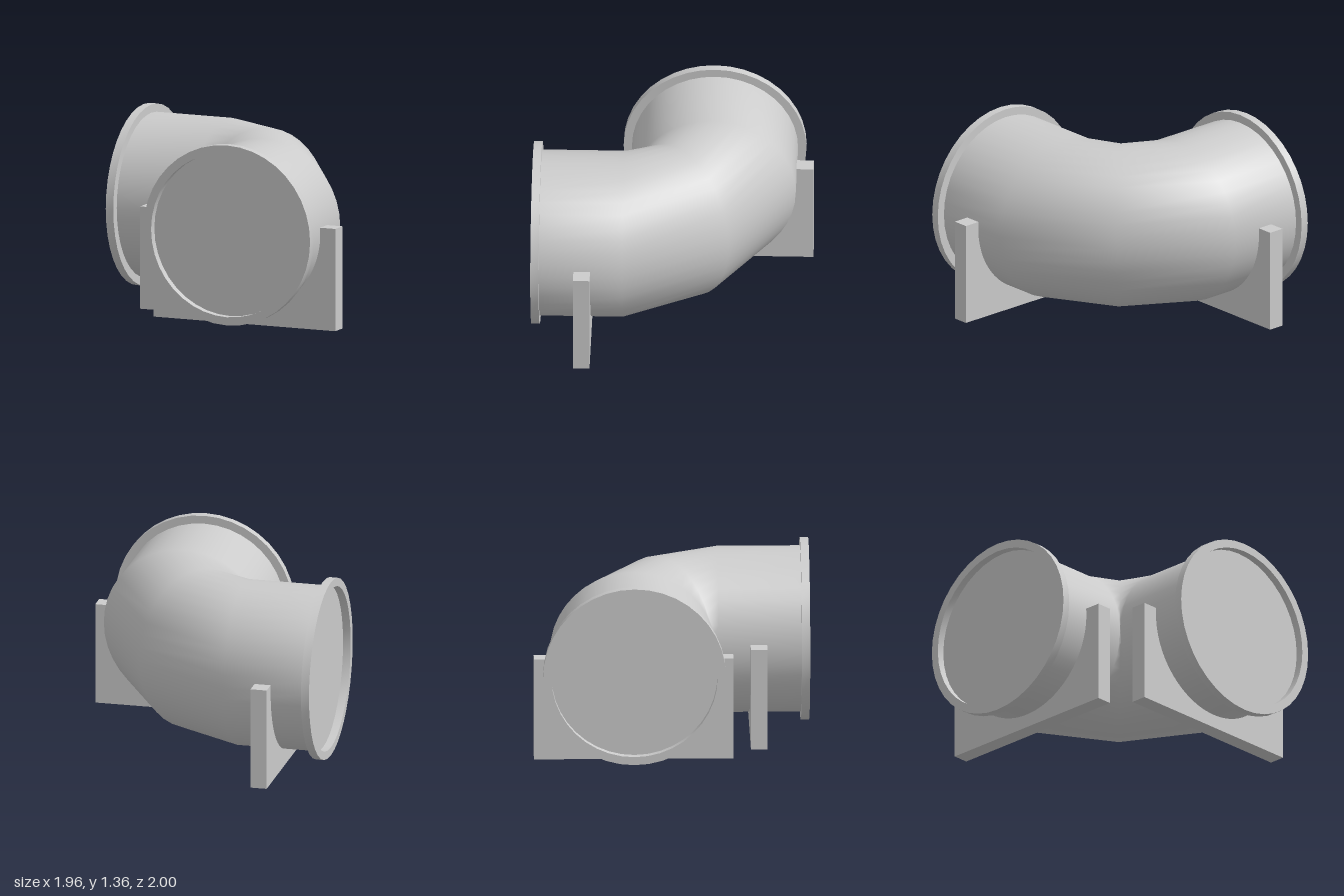
import * as THREE from 'three';
import { toCreasedNormals } from 'three/addons/utils/BufferGeometryUtils.js';

const SIDES = 40, R = 0.6, AXIS_Y = 0.7;
const grey = new THREE.MeshStandardMaterial({ color: 0xcccccc });

// Duct body: a loft through upright elliptical rings.
// Each ring is [centre x, centre z, heading of the outer side, horizontal radius].
function ductGeometry(rings) {
  const pos = [], index = [];
  for (const [cx, cz, angle, width] of rings) {
    for (let j = 0; j < SIDES; j++) {
      const t = (j / SIDES) * Math.PI * 2, w = Math.cos(t) * width;
      pos.push(cx + w * Math.sin(angle), AXIS_Y + R * Math.sin(t), cz - w * Math.cos(angle));
    }
  }
  for (let i = 0; i < rings.length - 1; i++) {
    for (let j = 0; j < SIDES; j++) {
      const a = i * SIDES + j, b = i * SIDES + (j + 1) % SIDES;
      index.push(a, b, a + SIDES, b, b + SIDES, a + SIDES);
    }
  }
  const geo = new THREE.BufferGeometry();
  geo.setAttribute('position', new THREE.Float32BufferAttribute(pos, 3));
  geo.setIndex(index);
  geo.computeVertexNormals();
  return geo;
}

// Flange rim with a recessed end plate, facing +z from z = 0 to 0.06
function flangeGeometry() {
  const profile = [[R - 0.01, 0], [0.66, 0], [0.66, 0.06], [R, 0.06], [R, 0.003], [0, 0.003]]
    .map(([r, y]) => new THREE.Vector2(r, y));
  const geo = new THREE.LatheGeometry(profile, SIDES).rotateX(Math.PI / 2);
  return toCreasedNormals(geo, 0.6);
}

// Support board with a half-round cradle cut for the pipe
function cradleGeometry() {
  const top = 0.75, a = Math.asin((top - AXIS_Y) / R), half = 0.72;
  const s = new THREE.Shape();
  s.moveTo(-half, 0);
  s.lineTo(half, 0);
  s.lineTo(half, top);
  s.lineTo(R * Math.cos(a), top);
  s.absarc(0, AXIS_Y, R, a, -Math.PI - a, true);
  s.lineTo(-half, top);
  s.closePath();
  return new THREE.ExtrudeGeometry(s, { depth: 0.12, bevelEnabled: false, curveSegments: 24 })
    .translate(0, 0, -0.06);
}

export function createModel() {
  const model = new THREE.Group();
  const add = (name, geo, x, y, z, turn = 0) => {
    const mesh = new THREE.Mesh(geo, grey);
    mesh.name = name;
    mesh.position.set(x, y, z);
    mesh.rotation.y = turn;
    model.add(mesh);
  };

  // Two straight legs joined by a two-piece bend
  const q = Math.PI / 2;
  add('elbowPipe', ductGeometry([
    [-0.93, -0.28, 0, R],
    [-0.33, -0.28, 0, R],
    [0.055, -0.06, q / 2, 0.505],
    [0.26, 0.34, q, R],
    [0.26, 0.95, q, R],
  ]), 0, 0, 0);

  // Flanges at both ends
  const flange = flangeGeometry();
  add('frontFlange', flange, 0.26, AXIS_Y, 0.94);
  add('sideFlange', flange, -0.92, AXIS_Y, -0.28, -q);

  // Cradles under both legs
  const cradle = cradleGeometry();
  add('frontCradle', cradle, 0.26, 0, 0.63);
  add('sideCradle', cradle, -0.62, 0, -0.28, q);
  return model;
}
